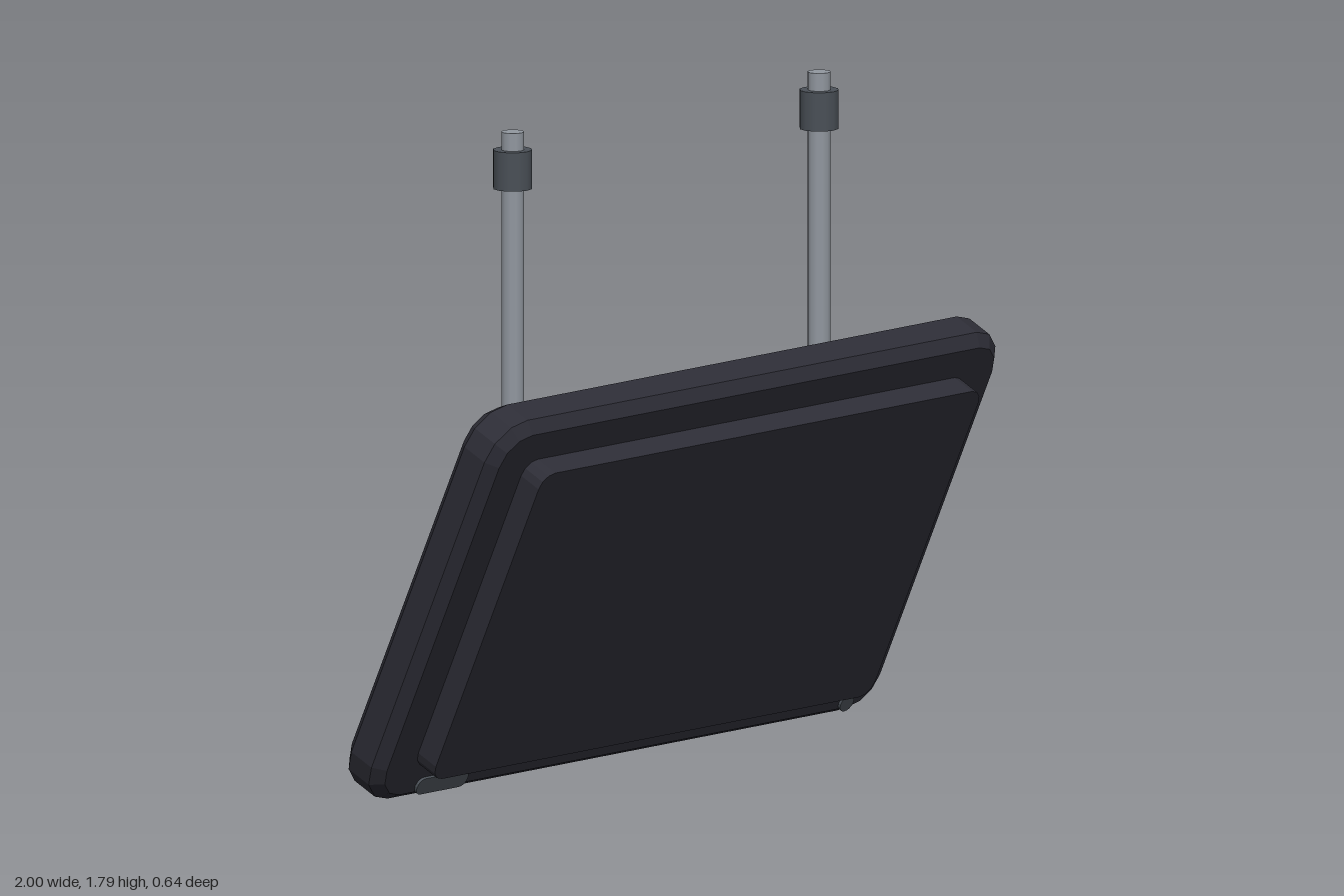
import * as THREE from 'three';

const paint = (name, color) => {
  const m = new THREE.MeshStandardMaterial({ color });
  m.name = name;
  return m;
};

// Rounded (or chamfered, with steps = 1) rectangle outline
function roundedRect(w, h, r, steps) {
  const pts = [];
  const corners = [[1, 1], [-1, 1], [-1, -1], [1, -1]];
  corners.forEach(([sx, sy], c) => {
    for (let i = 0; i <= steps; i++) {
      const a = (c + i / steps) * Math.PI / 2;
      pts.push(new THREE.Vector2(
        sx * (w / 2 - r) + r * Math.cos(a),
        sy * (h / 2 - r) + r * Math.sin(a)));
    }
  });
  return new THREE.Shape(pts);
}

// Slab between two depths, with an optional one-step bevel
function slab(w, h, r, steps, back, front, bevel = 0) {
  const geo = new THREE.ExtrudeGeometry(roundedRect(w - 2 * bevel, h - 2 * bevel, r, steps), {
    depth: front - back - 2 * bevel,
    bevelEnabled: bevel > 0,
    bevelSize: bevel,
    bevelThickness: bevel,
    bevelSegments: 1,
  });
  geo.translate(0, 0, back + bevel);
  return geo;
}

export function createModel() {
  const model = new THREE.Group();
  model.name = 'hangingMonitor';
  const housing = paint('charcoalPlastic', 0x2d2d36);
  const grey = paint('slateGrey', 0x4a5057);
  const metal = paint('brushedMetal', 0x9298a0);

  const add = (parent, name, geo, mat, x = 0, y = 0, z = 0) => {
    const mesh = new THREE.Mesh(geo, mat);
    mesh.name = name;
    mesh.position.set(x, y, z);
    parent.add(mesh);
    return mesh;
  };

  // Panel, leaning forward at the top
  const panel = new THREE.Group();
  panel.name = 'tiltedPanel';
  panel.rotation.x = THREE.MathUtils.degToRad(25);
  model.add(panel);
  add(panel, 'housing', slab(2, 1.2, 0.09, 3, -0.32, -0.18, 0.03), housing, 0, 0.513);
  add(panel, 'screen', slab(1.73, 0.97, 0.045, 3, -0.19, -0.11), housing, 0, 0.513);
  add(panel, 'rearMount', slab(0.72, 0.47, 0.06, 1, -0.42, -0.31), grey, 0, 0.565);

  // Small controls on the lower front rim
  add(panel, 'controlBar', slab(0.2, 0.05, 0.024, 4, -0.181, -0.172), grey, -0.727, -0.038);
  add(panel, 'powerButton', slab(0.05, 0.05, 0.0249, 4, -0.181, -0.172), grey, 0.865, -0.038);

  // Ceiling rods with collars
  for (const side of [-1, 1]) {
    const hanger = new THREE.Group();
    hanger.name = side > 0 ? 'leftHanger' : 'rightHanger';
    hanger.position.set(side * 0.603, 0, -0.032);
    model.add(hanger);
    add(hanger, 'rod', new THREE.CylinderGeometry(0.031, 0.031, 1.25, 12), metal, 0, 1.178);
    add(hanger, 'collar', new THREE.CylinderGeometry(0.053, 0.053, 0.105, 12), grey, 0, 1.702);
  }
  return model;
}
